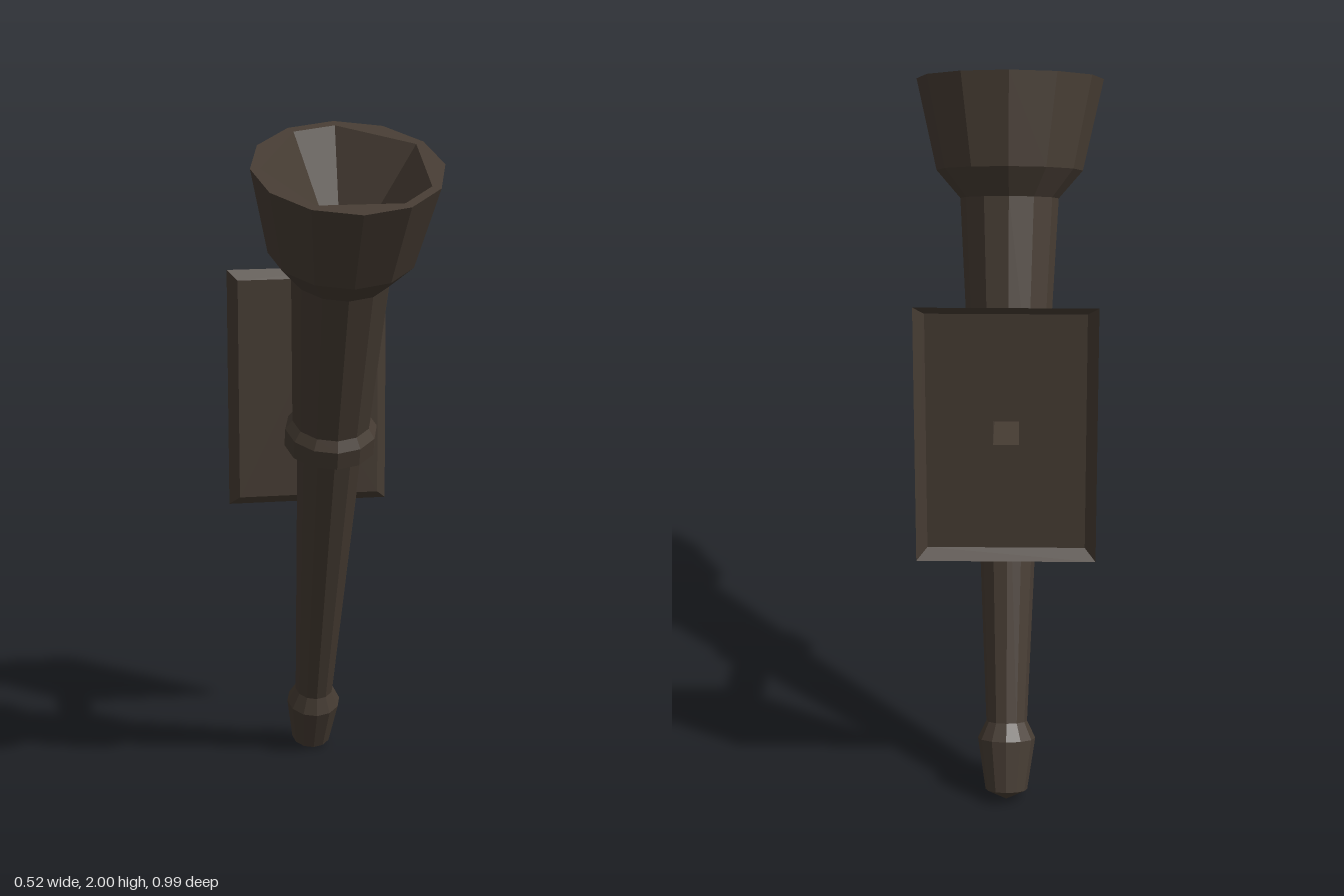
import * as THREE from 'three';

const darkIron = new THREE.MeshStandardMaterial({ color: 0x463c33, flatShading: true, side: THREE.DoubleSide });
darkIron.name = 'dark iron';

function part(name, geometry) {
  const flat = geometry.index ? geometry.toNonIndexed() : geometry;
  flat.computeVertexNormals();
  const mesh = new THREE.Mesh(flat, darkIron);
  mesh.name = name;
  return mesh;
}

// Twelve-sided turned piece from [radius, height] pairs, bottom to top
function turned(name, profile) {
  return part(name, new THREE.LatheGeometry(profile.map(([r, y]) => new THREE.Vector2(r, y)), 12));
}

// Open skin between two matching closed loops
function loft(a, b) {
  const points = [];
  a.forEach((p, i) => {
    const j = (i + 1) % a.length;
    points.push(p, a[j], b[j], p, b[j], b[i]);
  });
  return new THREE.BufferGeometry().setFromPoints(points);
}

function rectangle(w, h, z = 0, y = 0) {
  return [[1, -1], [1, 1], [-1, 1], [-1, -1]].map(([sx, sy]) => new THREE.Vector3(sx * w, y + sy * h, z));
}

function polar(r, degrees) {
  return degrees.map(d => new THREE.Vector2(r * Math.cos(d * Math.PI / 180), r * Math.sin(d * Math.PI / 180)));
}

export function createModel() {
  const model = new THREE.Group();
  model.name = 'wallTorch';

  // Leaning torch, modelled upright around its own axis
  const torch = new THREE.Group();
  torch.name = 'torch';
  torch.position.set(0, 0.011, -0.441);
  torch.rotation.x = THREE.MathUtils.degToRad(20);
  model.add(torch);

  torch.add(
    turned('endKnob', [[0, -0.01], [0.059, 0.018], [0.081, 0.165], [0.057, 0.215]]),
    turned('lowerShaft', [[0.057, 0.2], [0.095, 1.13]]),
    turned('collar', [[0.095, 1.105], [0.132, 1.13], [0.132, 1.185], [0.112, 1.215]]),
    turned('upperShaft', [[0.112, 1.2], [0.138, 1.69]]),
    turned('cup', [[0.136, 1.685], [0.205, 1.765], [0.262, 2.02]]),
  );

  // Flat lip around an uneven seven-sided bowl
  const top = 2.02;
  const bowlEdge = polar(0.236, [0, 0, 0, 0, 0, 0, 0].map((_, i) => [30, 90, 120, 180, 240, 300, 330][i]));
  const lip = new THREE.Shape(polar(0.262, Array.from({ length: 12 }, (_, i) => i * 30)));
  lip.holes.push(new THREE.Path(bowlEdge));
  torch.add(part('cupLip', new THREE.ShapeGeometry(lip).rotateX(-Math.PI / 2).translate(0, top, 0)));
  const edge = bowlEdge.map(p => new THREE.Vector3(p.x, top, -p.y));
  torch.add(part('bowl', loft(edge, edge.map(() => new THREE.Vector3(0, 1.7, 0)))));

  // Wall plate: hollow behind, bevelled edges, square opening into the arm
  const y = 1.1375, front = -0.465, arm = 0.034;
  const face = new THREE.Shape(rectangle(0.212, 0.335).map(p => new THREE.Vector2(p.x, p.y)));
  face.holes.push(new THREE.Path(rectangle(arm, arm).map(p => new THREE.Vector2(p.x, p.y))));
  model.add(
    part('wallPlate', new THREE.ShapeGeometry(face).translate(0, y, front)),
    part('plateBevel', loft(rectangle(0.241, 0.3625, -0.495, y), rectangle(0.212, 0.335, front, y))),
    part('arm', loft(rectangle(arm, arm, front, y), rectangle(arm, arm, -0.09, y))),
  );

  return model;
}
